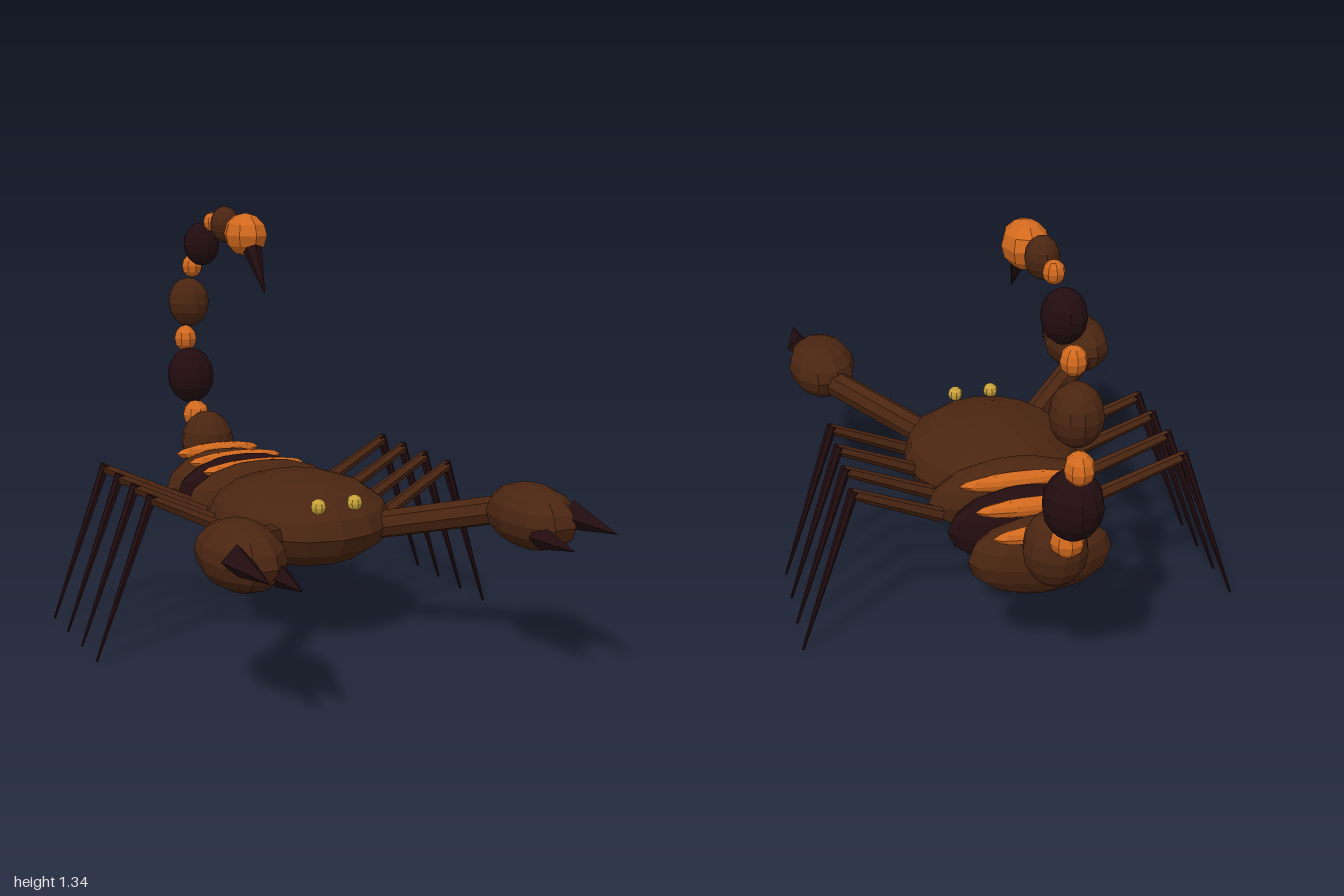
import * as THREE from 'three';

const material = (name, color) => {
  const m = new THREE.MeshStandardMaterial({ color, flatShading: true });
  m.name = name;
  return m;
};

export function createModel() {
  const brown = material('brown shell', 0x4a2511);
  const dark = material('dark shell', 0x220c0f);
  const orange = material('orange joint', 0xd2691e);
  const gold = material('gold eye', 0xc9a23a);

  const model = new THREE.Group();
  model.name = 'scorpion';

  // Faceted ellipsoid given by centre and three radii
  function blob(name, mat, pos, radii, segs = 12, rings = 8, parent = model) {
    const mesh = new THREE.Mesh(new THREE.SphereGeometry(1, segs, rings), mat);
    mesh.name = name;
    mesh.position.set(...pos);
    mesh.scale.set(...radii);
    parent.add(mesh);
    return mesh;
  }

  // Tapered rod from point a (radius ra) to point b (radius rb)
  function rod(name, mat, a, b, ra, rb, sides, parent = model) {
    const from = new THREE.Vector3(...a), to = new THREE.Vector3(...b);
    const dir = to.clone().sub(from);
    const mesh = new THREE.Mesh(new THREE.CylinderGeometry(rb, ra, dir.length(), sides), mat);
    mesh.name = name;
    mesh.position.copy(from).add(to).multiplyScalar(0.5);
    mesh.quaternion.setFromUnitVectors(new THREE.Vector3(0, 1, 0), dir.normalize());
    parent.add(mesh);
    return mesh;
  }

  // Body and abdomen plates
  blob('headShield', brown, [0, 0.38, 0.04], [0.29, 0.143, 0.325], 16, 8);
  [
    [brown, -0.25, 0.38, 0.27, 0.122, 0.095],
    [dark, -0.415, 0.365, 0.245, 0.125, 0.09],
    [brown, -0.58, 0.353, 0.22, 0.122, 0.095],
  ].forEach(([mat, z, y, rx, ry, rz], i) => {
    blob(`abdomenSegment${i + 1}`, mat, [0, y, z], [rx, ry, rz], 14, 8);
  });
  [[-0.32, 0.462, 0.19], [-0.48, 0.458, 0.175], [-0.64, 0.455, 0.16]].forEach(([z, y, rx], i) => {
    blob(`abdomenBand${i + 1}`, orange, [0, y, z], [rx, 0.03, 0.027], 10, 6);
  });

  // Tail: shell segments alternating with joints
  [
    [brown, -0.737, 0.465, 0.096, 0.118, 0.097],
    [orange, -0.85, 0.552, 0.05, 0.05, 0.052],
    [dark, -0.898, 0.69, 0.086, 0.103, 0.09],
    [orange, -0.947, 0.823, 0.043, 0.048, 0.049],
    [brown, -0.909, 0.963, 0.075, 0.09, 0.08],
    [orange, -0.871, 1.1, 0.038, 0.042, 0.042],
    [dark, -0.775, 1.187, 0.064, 0.077, 0.067],
    [orange, -0.673, 1.273, 0.032, 0.034, 0.034],
    [brown, -0.555, 1.273, 0.05, 0.062, 0.053],
  ].forEach(([mat, z, y, rx, ry, rz], i) => {
    const joint = mat === orange;
    blob(joint ? `tailJoint${i}` : `tailSegment${i}`, mat, [0, y, z], [rx, ry, rz],
      joint ? 8 : 12, joint ? 6 : 8);
  });
  blob('stingerBulb', orange, [0, 1.251, -0.377], [0.071, 0.072, 0.094], 8, 6);
  rod('stinger', dark, [0, 1.205, -0.318], [0, 1.067, -0.217], 0.032, 0, 6);

  for (const s of [1, -1]) {
    const side = new THREE.Group();
    side.name = s > 0 ? 'leftSide' : 'rightSide';
    model.add(side);

    blob('eye', gold, [s * 0.062, 0.48, 0.31], [0.025, 0.025, 0.025], 8, 6, side);

    // Pincer arm, claw and two fingers
    rod('arm', brown, [s * 0.185, 0.377, 0.24], [s * 0.45, 0.468, 0.53], 0.045, 0.045, 8, side);
    blob('claw', brown, [s * 0.473, 0.478, 0.665], [0.116, 0.097, 0.183], 10, 8, side);
    rod('outerFinger', dark, [s * 0.535, 0.503, 0.785], [s * 0.535, 0.498, 1], 0.045, 0, 4, side);
    rod('innerFinger', dark, [s * 0.42, 0.452, 0.785], [s * 0.423, 0.45, 0.955], 0.04, 0, 4, side);

    // Four walking legs
    for (let i = 0; i < 4; i++) {
      const z = 0.06 - i * 0.15;
      rod('upperLeg', brown, [s * 0.245, 0.37, z + 0.078], [s * 0.525, 0.505, z + 0.03], 0.023, 0.017, 6, side);
      rod('lowerLeg', dark, [s * 0.517, 0.515, z + 0.03], [s * 0.697, 0, z], 0.017, 0.004, 6, side);
    }
  }
  return model;
}
